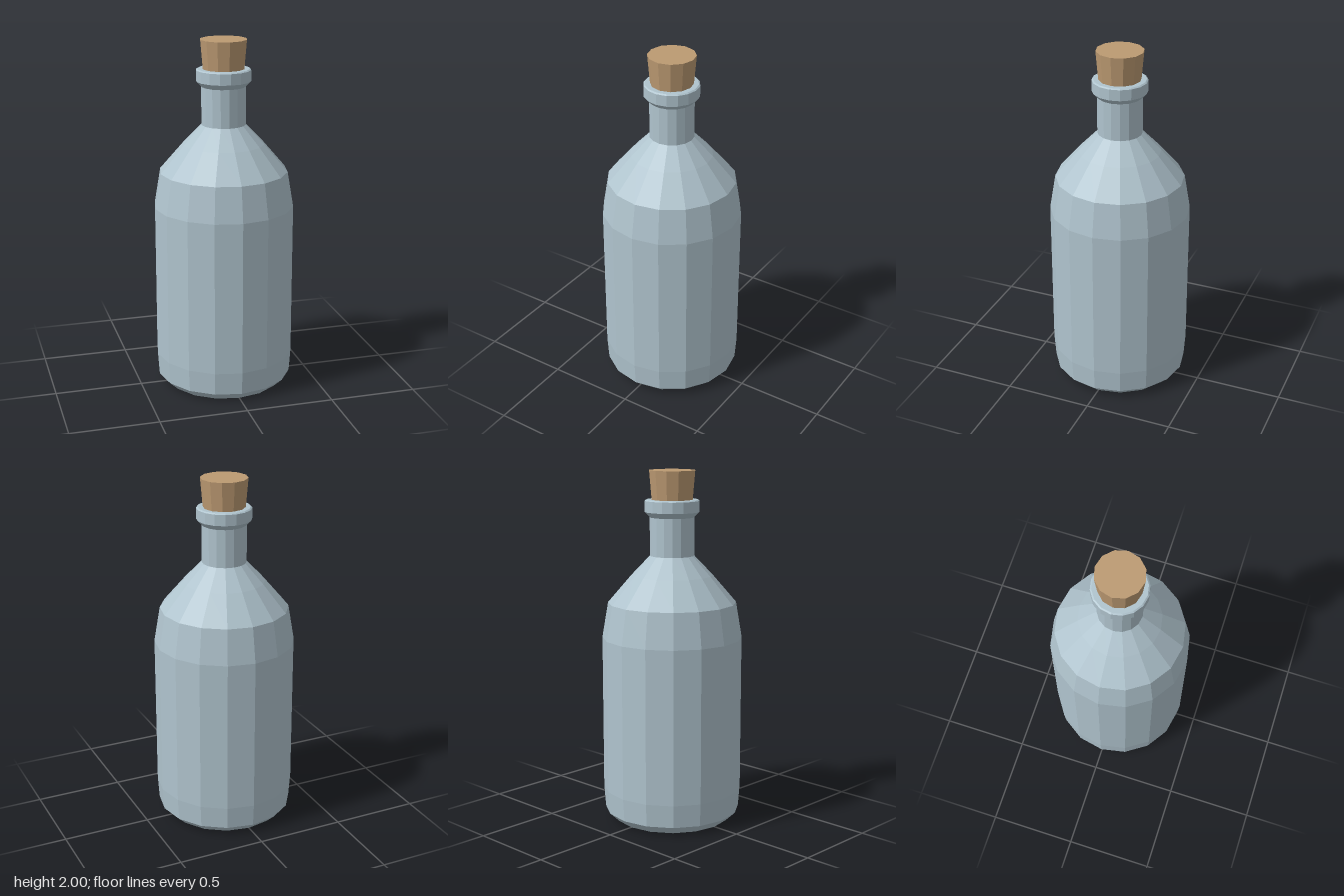
import * as THREE from 'three';

const glass = new THREE.MeshStandardMaterial({ name: 'paleBlueGlass', color: 0xb0c4ce, flatShading: true });
const corkBrown = new THREE.MeshStandardMaterial({ name: 'corkBrown', color: 0xbc9a72, flatShading: true });

// Faceted solid of revolution from [radius, height] pairs, bottom to top
function turned(name, profile, sides, material) {
  const points = profile.map(([r, y]) => new THREE.Vector2(r, y));
  const mesh = new THREE.Mesh(new THREE.LatheGeometry(points, sides), material);
  mesh.name = name;
  return mesh;
}

export function createModel() {
  const bottle = new THREE.Group();
  bottle.name = 'corkedBottle';

  // Bevelled base, straight wall and sloping shoulder
  bottle.add(turned('body', [
    [0, 0], [0.335, 0], [0.388, 0.05], [0.397, 0.18],
    [0.397, 1.06], [0.363, 1.26], [0.23, 1.415], [0.125, 1.525],
  ], 16, glass));

  // Straight neck
  bottle.add(turned('neck', [[0.125, 1.525], [0.125, 1.74]], 16, glass));

  // Thick rim, closed inward under the stopper
  bottle.add(turned('lip', [
    [0.125, 1.74], [0.154, 1.77], [0.154, 1.832], [0.146, 1.838], [0.09, 1.838],
  ], 16, glass));

  // Tapered stopper
  bottle.add(turned('cork', [[0, 1.78], [0.113, 1.78], [0.132, 2], [0, 2]], 12, corkBrown));

  return bottle;
}
